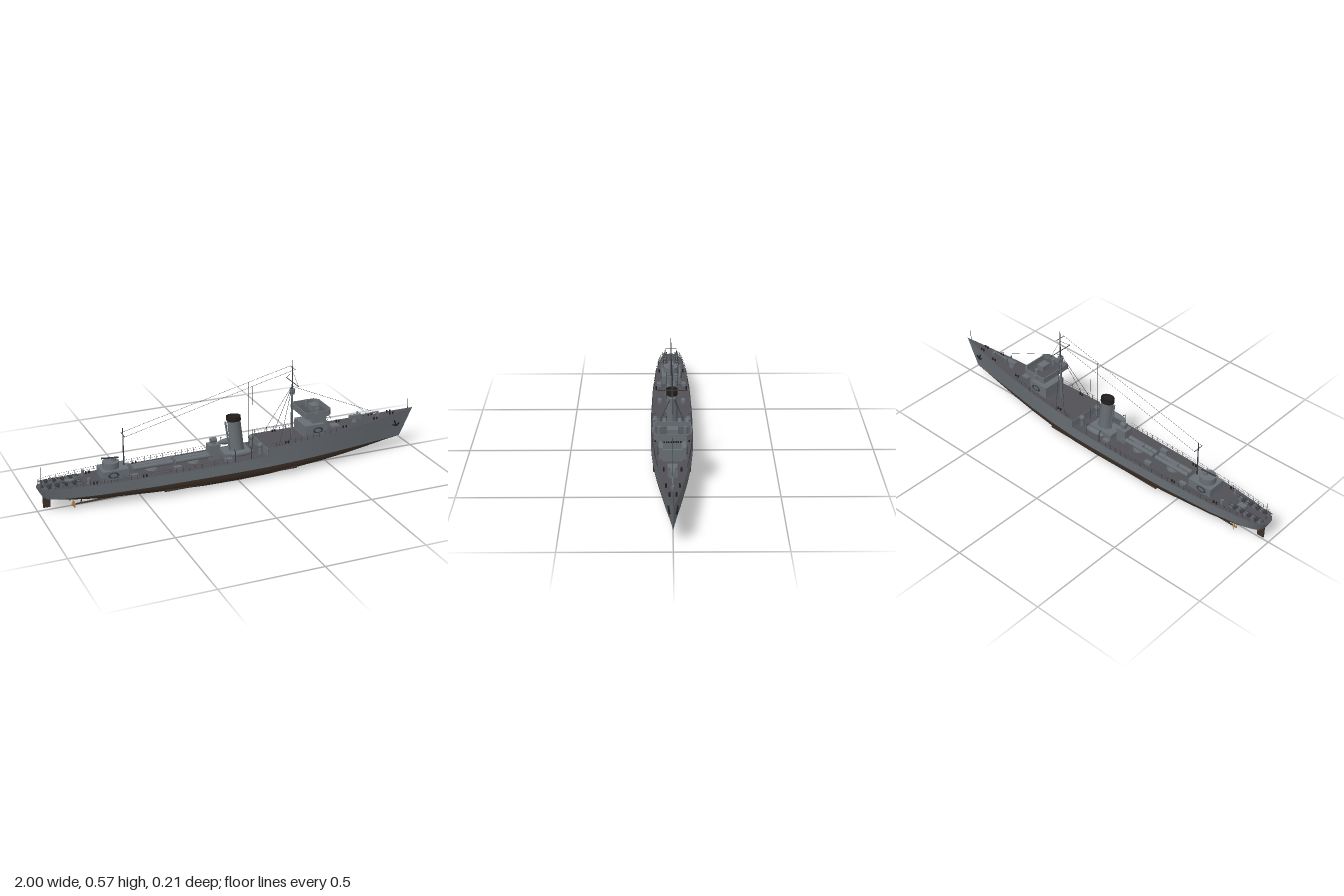
import * as THREE from 'three';
import { toCreasedNormals } from 'three/addons/utils/BufferGeometryUtils.js';

const mat = (name, color, side = THREE.FrontSide) => {
  const m = new THREE.MeshStandardMaterial({ color, side });
  m.name = name;
  return m;
};

export function createModel() {
  const ship = new THREE.Group();
  ship.name = 'warship';
  const grey = mat('hull grey', 0x686e74);
  const deckMat = mat('deck grey', 0x505056);
  const bottom = mat('underwater brown', 0x3d3028);
  const black = mat('black', 0x211d1b);
  const wire = mat('rigging dark grey', 0x3c3e42);
  const brass = mat('brass', 0xa2743a, THREE.DoubleSide);

  const add = (name, geo, m, x = 0, y = 0, z = 0) => {
    const mesh = new THREE.Mesh(geo, m);
    mesh.name = name;
    mesh.position.set(x, y, z);
    ship.add(mesh);
    return mesh;
  };
  const box = (name, m, x0, x1, y0, y1, w, z = 0) =>
    add(name, new THREE.BoxGeometry(x1 - x0, y1 - y0, w * 2), m, (x0 + x1) / 2, (y0 + y1) / 2, z);
  const post = (name, m, x, y0, y1, z, r, r2 = r, n = 12) =>
    add(name, new THREE.CylinderGeometry(r2, r, y1 - y0, n), m, x, (y0 + y1) / 2, z);
  // Round bar between two points
  const bar = (name, m, a, b, r, n = 4, r2 = r) => {
    const A = new THREE.Vector3(...a), d = new THREE.Vector3(...b).sub(A);
    const mesh = add(name, new THREE.CylinderGeometry(r2, r, d.length(), n), m);
    mesh.position.copy(A).addScaledVector(d, 0.5);
    mesh.quaternion.setFromUnitVectors(new THREE.Vector3(0, 1, 0), d.normalize());
    return mesh;
  };
  const bothSides = (f) => [1, -1].forEach(f);

  // Hull stations: deck x, waterline x, keel x, deck half-beam, waterline half-beam, keel y, deck y
  const WL = 0.067;
  const stations = [
    [-1, -0.97, -0.94, 0, 0, 0.067, 0.122], [-0.995, -0.965, -0.935, 0.022, 0.012, 0.066, 0.122],
    [-0.98, -0.955, -0.925, 0.038, 0.028, 0.064, 0.122], [-0.94, -0.92, -0.9, 0.054, 0.044, 0.06, 0.122],
    [-0.86, -0.85, -0.84, 0.068, 0.062, 0.05, 0.121], [-0.72, -0.72, -0.72, 0.083, 0.08, 0.034, 0.12],
    [-0.45, -0.45, -0.45, 0.098, 0.097, 0.016, 0.12], [-0.18, -0.18, -0.18, 0.103, 0.103, 0.002, 0.12],
    [0, 0, 0, 0.103, 0.103, 0.0, 0.122], [0.14, 0.14, 0.14, 0.102, 0.101, 0.003, 0.125],
    [0.14, 0.14, 0.14, 0.102, 0.101, 0.003, 0.165], [0.3, 0.3, 0.3, 0.095, 0.09, 0.01, 0.168],
    [0.46, 0.455, 0.45, 0.081, 0.072, 0.018, 0.174], [0.62, 0.605, 0.6, 0.064, 0.05, 0.03, 0.182],
    [0.78, 0.75, 0.74, 0.041, 0.028, 0.046, 0.193], [0.9, 0.855, 0.84, 0.02, 0.011, 0.058, 0.203],
    [1, 0.93, 0.925, 0, 0, 0.067, 0.212],
  ];
  const deckAt = (x, k) => {
    let i = 0;
    while (i < stations.length - 2 && stations[i + 1][0] <= x) i++;
    const a = stations[i], b = stations[i + 1];
    return THREE.MathUtils.lerp(a[k], b[k], (x - a[0]) / (b[0] - a[0] || 1));
  };
  // Skin through one row of points per station
  const loft = (name, m, rows, f, crease = 0.6) => {
    const pos = [], idx = [];
    stations.forEach((s) => { for (let j = 0; j <= rows; j++) pos.push(...f(s, j / rows)); });
    for (let i = 0; i < stations.length - 1; i++) for (let j = 0; j < rows; j++) {
      const a = i * (rows + 1) + j, b = a + rows + 1;
      idx.push(a, a + 1, b + 1, a, b + 1, b);
    }
    const g = new THREE.BufferGeometry();
    g.setAttribute('position', new THREE.Float32BufferAttribute(pos, 3));
    g.setIndex(idx);
    add(name, toCreasedNormals(g, crease), m);
  };
  loft('lowerHull', bottom, 20, ([, xw, xk, , bw, ky], t) => {
    const a = t * Math.PI, d = Math.pow(Math.sin(a), 0.8), c = Math.cos(a);
    return [xw + (xk - xw) * d, WL + (ky - WL) * d, Math.sign(c) * bw * Math.pow(Math.abs(c), 0.75)];
  });
  bothSides((s) => loft('hullSide', grey, 4, ([xd, xw, , bd, bw, , dy], t) => {
    const u = s > 0 ? t : 1 - t;
    return [xd + (xw - xd) * u, dy + (WL - dy) * u, s * (bd + (bw - bd) * u)];
  }));
  loft('deck', deckMat, 2, ([xd, , , bd, , , dy], t) => [xd, dy, (t * 2 - 1) * bd], 0.3);
  box('forecastleBulkhead', grey, 0.136, 0.141, 0.122, 0.164, 0.1);

  // Rudder, shafts, propellers, bilge keels, anchors
  box('rudder', bottom, -0.972, -0.937, 0.014, 0.085, 0.004);
  bothSides((s) => {
    bar('propellerShaft', bottom, [-0.84, 0.024, s * 0.04], [-0.5, 0.03, s * 0.04], 0.004, 8);
    bar('shaftStrut', bottom, [-0.8, 0.025, s * 0.04], [-0.79, 0.06, s * 0.03], 0.003);
    bar('propellerHub', brass, [-0.845, 0.024, s * 0.04], [-0.825, 0.024, s * 0.04], 0.005, 8);
    for (let i = 0; i < 3; i++) {
      const a = i * Math.PI * 2 / 3;
      const blade = add('propellerBlade', new THREE.CircleGeometry(0.009, 10), brass,
        -0.835, 0.024 + Math.cos(a) * 0.011, s * 0.04 + Math.sin(a) * 0.011);
      blade.rotation.set(0, Math.PI / 2 + 0.4, 0);
    }
    bar('bilgeKeel', bottom, [-0.4, 0.033, s * 0.091], [0.3, 0.033, s * 0.084], 0.006, 4);
    bar('anchorShank', black, [0.885, 0.163, s * 0.021], [0.9, 0.134, s * 0.016], 0.004, 6);
    bar('anchorArm', black, [0.88, 0.14, s * 0.019], [0.9, 0.131, s * 0.016], 0.004, 6);
    bar('anchorArm', black, [0.918, 0.143, s * 0.014], [0.9, 0.131, s * 0.016], 0.004, 6);
  });

  // Oval life raft on a vertical side
  const raft = (x, y, z) => add('lifeRaft', new THREE.TorusGeometry(0.016, 0.004, 6, 20), wire, x, y, z).scale.set(1.4, 0.8, 0.8);

  // Bridge
  box('bridgeLowerHouse', grey, 0.355, 0.46, 0.165, 0.232, 0.064);
  box('bridgeFrontHouse', grey, 0.45, 0.487, 0.165, 0.235, 0.045);
  box('bridgeUpperHouse', grey, 0.405, 0.48, 0.23, 0.284, 0.043);
  const rect = (P, x0, x1, z) => {
    const p = new P();
    p.moveTo(x0, -z); p.lineTo(x1 - 0.02, -z); p.lineTo(x1, -z * 0.75);
    p.lineTo(x1, z * 0.75); p.lineTo(x1 - 0.02, z); p.lineTo(x0, z); p.closePath();
    return p;
  };
  const plan = rect(THREE.Shape, 0.345, 0.492, 0.087);
  plan.holes.push(rect(THREE.Path, 0.35, 0.487, 0.082));
  add('bridgeBulwark', new THREE.ExtrudeGeometry(plan, { depth: 0.03, bevelEnabled: false }).rotateX(-Math.PI / 2), grey, 0, 0.281, 0);
  add('bridgeFloor', new THREE.ExtrudeGeometry(rect(THREE.Shape, 0.347, 0.49, 0.085), { depth: 0.005, bevelEnabled: false }).rotateX(-Math.PI / 2), deckMat, 0, 0.282, 0);
  box('chartTable', grey, 0.41, 0.45, 0.285, 0.318, 0.025);
  bothSides((s) => {
    post('signalLamp', grey, 0.42, 0.287, 0.32, s * 0.06, 0.009);
    box('bridgeWingLight', grey, 0.39, 0.41, 0.29, 0.306, 0.003, s * 0.09);
    raft(0.425, 0.203, s * 0.066);
    for (let i = 0; i < 4; i++) {
      box('bridgeWindow', black, 0.48, 0.482, 0.267, 0.275, 0.0035, s * (0.006 + i * 0.0105));
      if (i < 3) box('sideWindow', black, 0.417 + i * 0.02, 0.425 + i * 0.02, 0.262, 0.272, 0.001, s * 0.0435);
    }
  });

  // Funnel on its casing
  box('funnelCasing', grey, -0.065, 0.075, 0.12, 0.145, 0.045);
  const rake = (pts) => {
    const g = new THREE.LatheGeometry(pts.map((p) => new THREE.Vector2(...p)), 28);
    const p = g.attributes.position;
    for (let i = 0; i < p.count; i++) p.setX(i, p.getX(i) * 1.3 + 0.016 - (p.getY(i) - 0.14) * 0.12);
    return g;
  };
  add('funnel', rake([[0.029, 0.14], [0.027, 0.16], [0.026, 0.302]]), grey);
  add('funnelCap', rake([[0.026, 0.3], [0.0285, 0.302], [0.0285, 0.325], [0.024, 0.325], [0.023, 0.312], [0, 0.312]]), black);
  bar('steamPipe', grey, [-0.024, 0.145, 0], [-0.048, 0.3, 0], 0.005, 8);

  // Ship's boats with davits
  bothSides((s) => {
    add('boat', new THREE.SphereGeometry(1, 20, 12), grey, 0.008, 0.158, s * 0.081).scale.set(0.062, 0.016, 0.016);
    [-0.035, 0.05].forEach((x) => {
      bar('davit', wire, [x, 0.122, s * 0.096], [x, 0.178, s * 0.096], 0.002, 6);
      bar('davit', wire, [x, 0.178, s * 0.096], [x, 0.184, s * 0.08], 0.002, 6);
    });
    post('ventilator', grey, 0.115, 0.124, 0.165, s * 0.055, 0.01);
    add('ventilatorHead', new THREE.SphereGeometry(0.014, 12, 8), grey, 0.115, 0.17, s * 0.055);
  });

  // Searchlight tower
  box('towerHouse', grey, -0.14, -0.085, 0.12, 0.195, 0.024);
  post('searchlightMount', grey, -0.112, 0.195, 0.208, 0, 0.012);
  bar('searchlight', grey, [-0.127, 0.215, 0], [-0.097, 0.215, 0], 0.013, 16);

  // Twin torpedo tubes
  [-0.43, -0.215].forEach((x) => {
    post('tubeTurntable', grey, x, 0.12, 0.132, 0, 0.034, 0.03, 20);
    box('tubeSaddle', grey, x - 0.025, x + 0.025, 0.13, 0.155, 0.014);
    bothSides((s) => {
      bar('torpedoTube', grey, [x - 0.1, 0.142, s * 0.014], [x + 0.1, 0.142, s * 0.014], 0.011, 16);
      [-0.07, 0.06].forEach((d) => bar('tubeBand', grey, [x + d, 0.142, s * 0.014], [x + d + 0.008, 0.142, s * 0.014], 0.013, 16));
    });
  });

  // After deckhouse with its gun
  box('afterHouse', grey, -0.69, -0.56, 0.12, 0.163, 0.05);
  post('gunPlatform', grey, -0.635, 0.163, 0.195, 0, 0.04, 0.04, 24);
  post('afterGunMount', grey, -0.62, 0.195, 0.207, 0, 0.012);
  bar('afterGunBarrel', wire, [-0.595, 0.207, 0], [-0.68, 0.215, 0], 0.004, 8);
  bothSides((s) => raft(-0.638, 0.142, s * 0.052));

  // Forecastle gun and fittings
  post('foreGunPedestal', grey, 0.665, 0.182, 0.21, 0, 0.016, 0.011);
  box('foreGunBreech', grey, 0.635, 0.69, 0.205, 0.222, 0.01);
  bar('foreGunBarrel', grey, [0.68, 0.214, 0], [0.8, 0.22, 0], 0.0055, 10, 0.0035);
  bothSides((s) => box('gunShield', grey, 0.685, 0.689, 0.198, 0.232, 0.008, s * 0.014));
  post('capstan', grey, 0.8, 0.194, 0.212, 0, 0.008);
  box('foreHatch', grey, 0.53, 0.57, 0.176, 0.188, 0.022);
  [[0.58, 0.04], [0.76, 0.03], [0.86, 0.015], [-0.74, 0.065], [-0.5, 0.08], [0.24, 0.08]].forEach(([x, z]) => bothSides((s) =>
    [0, 0.016].forEach((d) => post('bollard', black, x + d, deckAt(x, 6), deckAt(x, 6) + 0.012, s * z, 0.004, 0.004, 8))));
  [[-0.32, 0.06], [-0.06, 0.07], [-0.54, 0.065]].forEach(([x, z]) => bothSides((s) =>
    box('deckLocker', grey, x - 0.018, x + 0.018, 0.12, 0.136, 0.01, s * z)));

  // Depth charge racks at the stern
  bothSides((s) => {
    [0.028, 0.042].forEach((z) => bar('chargeRail', wire, [-0.98, 0.138, s * z * 0.85], [-0.79, 0.138, s * z], 0.002));
    for (let i = 0; i < 9; i++) {
      const x = -0.965 + i * 0.02;
      bar('depthCharge', i % 2 ? wire : grey, [x, 0.131, s * 0.025], [x, 0.131, s * 0.042], 0.008, 10);
    }
    post('chargeThrower', grey, -0.76, 0.12, 0.148, s * 0.05, 0.008);
  });
  box('sternHatch', grey, -0.86, -0.82, 0.12, 0.133, 0.013);

  // Masts, yards, crow's nest and staffs
  post('foremastLower', grey, 0.31, 0.165, 0.42, 0, 0.006, 0.005);
  post('foremastTop', wire, 0.31, 0.42, 0.567, 0, 0.0035, 0.002, 8);
  post('crowsNest', grey, 0.31, 0.39, 0.416, 0, 0.012, 0.015, 16);
  bar('lowerYard', wire, [0.31, 0.453, -0.07], [0.31, 0.453, 0.07], 0.002, 6);
  bar('upperYard', wire, [0.31, 0.528, -0.029], [0.31, 0.528, 0.029], 0.0015, 6);
  post('mainmast', wire, -0.57, 0.16, 0.352, 0, 0.004, 0.002, 8);
  bar('mainYard', wire, [-0.57, 0.318, -0.029], [-0.57, 0.318, 0.029], 0.0015, 6);
  post('ensignStaff', wire, -0.975, 0.122, 0.226, 0, 0.0015, 0.001, 6);
  post('jackStaff', wire, 0.972, 0.208, 0.27, 0, 0.0015, 0.001, 6);

  // Rigging
  const R = 0.0007;
  bar('forestay', wire, [0.31, 0.43, 0], [0.8, 0.21, 0], R);
  bothSides((s) => {
    bar('aerial', wire, [0.31, 0.528, s * 0.028], [-0.57, 0.318, s * 0.028], R);
    bar('aerialLead', wire, [0.085, 0.474, s * 0.028], [0.085, 0.145, s * 0.025], R);
    bar('yardLift', wire, [0.31, 0.453, s * 0.068], [0.31, 0.51, 0], R);
    bar('shroud', wire, [0.31, 0.435, 0], [0.2, 0.167, s * 0.094], 0.001);
    bar('shroud', wire, [0.31, 0.435, 0], [0.26, 0.168, s * 0.094], 0.001);
  });

  // Guard rails along both deck edges
  const rail = (x0, x1, n) => bothSides((s) => {
    const at = (i, h) => {
      const x = x0 + (x1 - x0) * i / n;
      return [x, deckAt(x, 6) + h, s * deckAt(x, 3) * 0.97];
    };
    for (let i = 0; i <= n; i++) {
      bar('railPost', wire, at(i, 0), at(i, 0.024), 0.0009);
      if (i < n) [0.012, 0.024].forEach((h) => bar('railWire', wire, at(i, h), at(i + 1, h), 0.0005, 3));
    }
  });
  rail(-0.985, -0.08, 28);
  rail(0.15, 0.56, 12);

  return ship;
}
